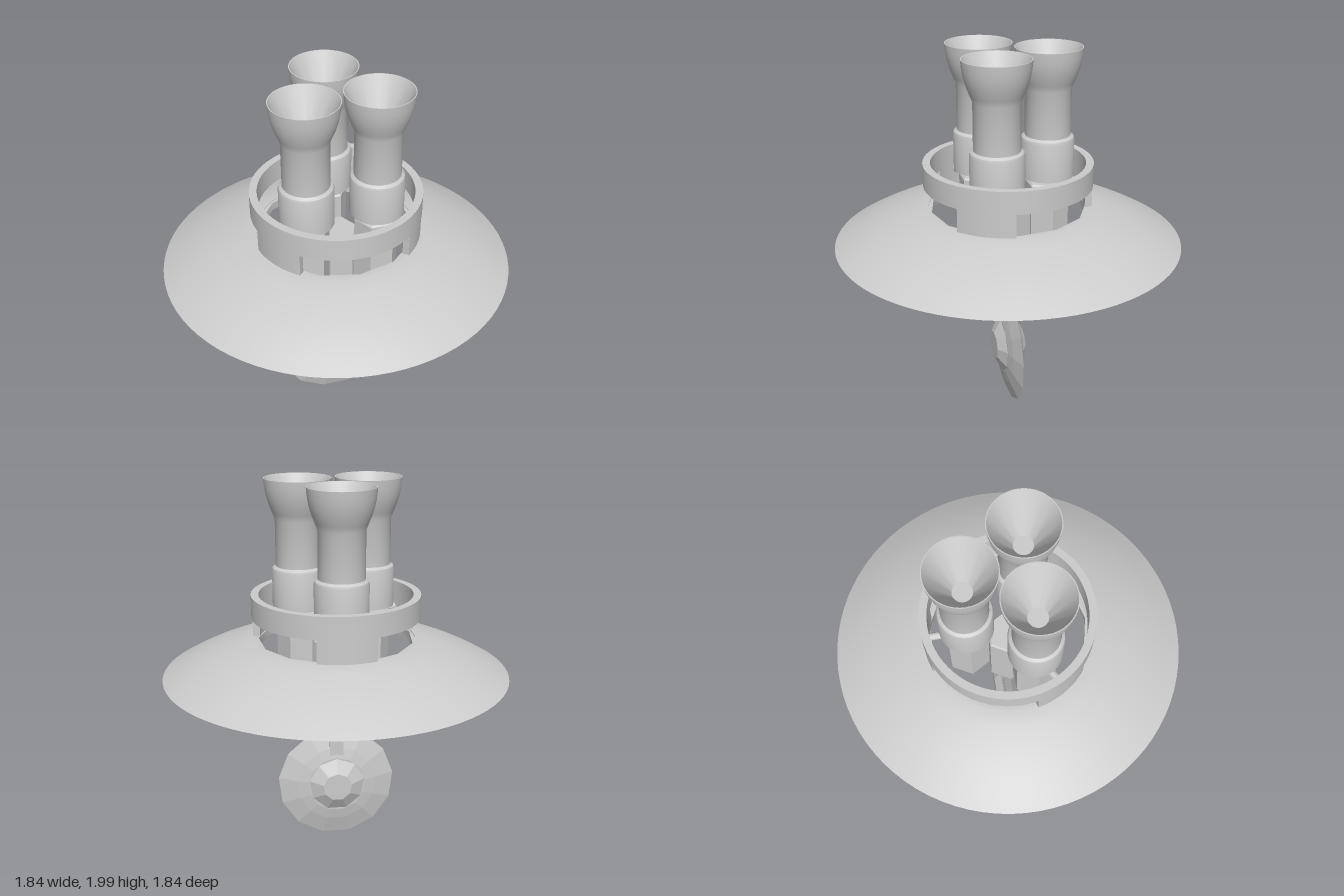
import * as THREE from 'three';
import { toCreasedNormals } from 'three/addons/utils/BufferGeometryUtils.js';

const smooth = new THREE.MeshStandardMaterial({ color: 0xcccccc, side: THREE.DoubleSide });
const faceted = new THREE.MeshStandardMaterial({ color: 0xcccccc, flatShading: true, side: THREE.DoubleSide });
const DEG = Math.PI / 180;
const ANGLES = [30, 150, 270].map(a => a * DEG); // three-way layout, x = cos, z = sin

function lathe(points, segments, phi = 0) {
  return new THREE.LatheGeometry(points.map(([r, y]) => new THREE.Vector2(r, y)), segments, phi);
}

function add(parent, name, geometry, material = smooth) {
  const mesh = new THREE.Mesh(material === smooth ? toCreasedNormals(geometry, 0.5) : geometry, material);
  mesh.name = name;
  parent.add(mesh);
  return mesh;
}

// Flat outline in x/z, extruded downwards from the given top height
function slab(shape, top, depth) {
  const g = new THREE.ExtrudeGeometry(shape, { depth, bevelEnabled: false, curveSegments: 32 });
  return g.rotateX(Math.PI / 2).translate(0, top, 0);
}

// Six-sided body with chamfered ends and corners on the x axis
function hexBody(bottom, top, r, chamfer) {
  return lathe([
    [0, bottom], [r - chamfer, bottom], [r, bottom + chamfer],
    [r, top - 0.01], [r - 0.01, top], [0, top],
  ], 6, Math.PI / 2);
}

function createUnit() {
  const unit = new THREE.Group();
  unit.name = 'lampUnit';
  // Hollow flared lamp on a rounded collar
  add(unit, 'flaredLamp', lathe([
    [0, 1.5], [0.12, 1.5], [0.12, 1.79], [0.134, 1.825], [0.15, 1.865], [0.163, 1.91],
    [0.171, 1.955], [0.175, 2], [0.17, 2], [0.05, 1.77], [0, 1.77],
  ], 40));
  add(unit, 'collar', lathe([
    [0, 1.32], [0.14, 1.32], [0.14, 1.52], [0.136, 1.534], [0.122, 1.545], [0, 1.545],
  ], 40));
  add(unit, 'neck', new THREE.CylinderGeometry(0.045, 0.045, 0.06, 20).translate(0, 1.305, 0));
  // Holder with a pointed tip below
  add(unit, 'holder', hexBody(0.9, 1.29, 0.118, 0.015), faceted);
  add(unit, 'tip', lathe([[0, 0.81], [0.02, 0.81], [0.043, 0.845], [0.043, 0.91]], 6, Math.PI / 2), faceted);
  return unit;
}

export function createModel() {
  const model = new THREE.Group();
  model.name = 'pendantLamp';

  // Domed shade with a flat lower lip
  add(model, 'shade', lathe([
    [0.85, 0.98], [0.92, 0.98], [0.84, 1.026], [0.76, 1.066], [0.68, 1.1], [0.6, 1.128],
    [0.52, 1.152], [0.435, 1.172], [0.42, 1.172], [0.42, 1.13], [0.52, 1.108], [0.62, 1.08],
    [0.74, 1.036], [0.85, 0.98],
  ], 80));

  // Faceted lining of the shade opening
  const lining = new THREE.Shape().absarc(0, 0, 0.43, 0, Math.PI * 2);
  const hole = new THREE.Path();
  for (let i = 0; i < 13; i++) {
    const a = Math.PI / 2 + i * Math.PI * 2 / 13;
    hole[i ? 'lineTo' : 'moveTo'](0.41 * Math.cos(a), 0.41 * Math.sin(a));
  }
  hole.closePath();
  lining.holes.push(hole);
  add(model, 'openingLining', slab(lining, 1.168, 0.045));

  // Upper ring
  add(model, 'upperRing', lathe([
    [0.405, 1.295], [0.445, 1.295], [0.445, 1.415], [0.405, 1.415], [0.405, 1.295],
  ], 64));

  // Posts, radial arms and lamp units
  for (const a of ANGLES) {
    const h = 20 * DEG;
    const post = new THREE.Shape();
    post.absarc(0, 0, 0.442, a - h, a + h, false);
    post.absarc(0, 0, 0.405, a + h, a - h, true);
    post.closePath();
    add(model, 'post', slab(post, 1.3, 0.15));

    const arm = add(model, 'arm', new THREE.CylinderGeometry(0.02, 0.02, 0.13, 12).rotateZ(Math.PI / 2));
    arm.position.set(0.35 * Math.cos(a), 1.27, 0.35 * Math.sin(a));
    arm.rotation.y = -a;

    const unit = createUnit();
    unit.position.set(0.213 * Math.cos(a), 0, 0.213 * Math.sin(a));
    model.add(unit);
  }

  // Central hub and stem
  add(model, 'hub', hexBody(0.69, 1.16, 0.12, 0.025), faceted);
  add(model, 'stem', new THREE.BoxGeometry(0.076, 0.22, 0.076).translate(0, 0.6, 0), faceted);

  // Faceted hanging disc: thin rim and a raised boss on both faces
  const disc = new THREE.Group();
  disc.name = 'hangingDisc';
  add(disc, 'discRim', lathe([
    [0, -0.042], [0.16, -0.042], [0.22, -0.03], [0.323, 0], [0.22, 0.03], [0.16, 0.042], [0, 0.042],
  ], 13, Math.PI), faceted);
  add(disc, 'discBoss', lathe([
    [0, -0.082], [0.08, -0.082], [0.158, -0.04], [0.158, 0.04], [0.08, 0.082], [0, 0.082],
  ], 9, Math.PI), faceted);
  disc.rotation.x = Math.PI / 2;
  disc.position.y = 0.322;
  model.add(disc);

  return model;
}
